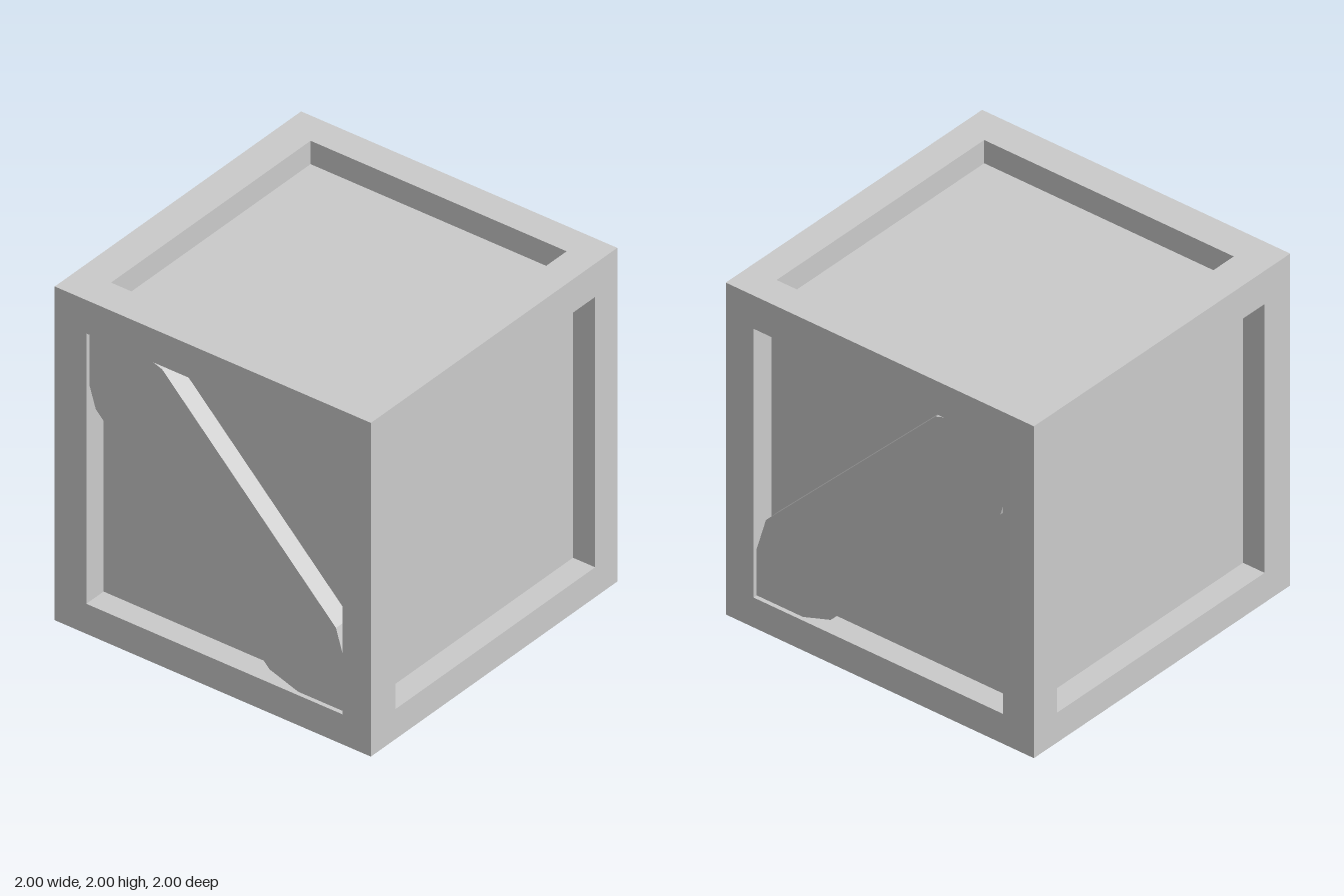
import * as THREE from 'three';

const material = new THREE.MeshStandardMaterial({ color: 0xcccccc, flatShading: true });

// Box given by its two opposite corners
function addBox(group, name, [x0, y0, z0], [x1, y1, z1]) {
  const mesh = new THREE.Mesh(new THREE.BoxGeometry(x1 - x0, y1 - y0, z1 - z0), material);
  mesh.position.set((x0 + x1) / 2, (y0 + y1) / 2, (z0 + z1) / 2);
  mesh.name = name;
  group.add(mesh);
}

export function createModel() {
  const crate = new THREE.Group();
  crate.name = 'crate';

  // Recessed panels on all six sides
  addBox(crate, 'panels', [-0.86, 0.14, -0.86], [0.86, 1.86, 0.86]);

  // Frame beams: [outer, inner] spans on each axis, low side then high side
  const frame = new THREE.Group();
  frame.name = 'frame';
  const xs = [[-1, -0.8], [0.82, 1]];
  const ys = [[0, 0.18], [1.8, 2]];
  const zs = [[-1, -0.82], [0.8, 1]];
  for (const i of [0, 1]) {
    for (const j of [0, 1]) {
      const [x, y, z, z2] = [xs[i], ys[j], zs[j], zs[i]];
      addBox(frame, 'cornerPost', [x[0], 0, z[0]], [x[1], 2, z[1]]);
      addBox(frame, 'crossRail', [-0.8, y[0], z2[0]], [0.82, y[1], z2[1]]);
      addBox(frame, 'sideRail', [x[0], y[0], -0.82], [x[1], y[1], 0.8]);
    }
  }
  crate.add(frame);

  // Diagonal brace with chamfered ends, tucked slightly into the frame
  const outline = [
    [-0.49, 1.81], [-0.34, 1.76], [0.76, 0.66], [0.823, 0.45], [0.83, 0.17],
    [0.55, 0.17], [0.34, 0.24], [-0.76, 1.35], [-0.81, 1.51], [-0.81, 1.81],
  ].reverse().map(([x, y]) => new THREE.Vector2(x, y));
  const board = new THREE.ExtrudeGeometry(new THREE.Shape(outline), { depth: 0.135, bevelEnabled: false });
  for (const [name, z] of [['frontBrace', 0.84], ['backBrace', -0.975]]) {
    const brace = new THREE.Mesh(board, material);
    brace.position.z = z;
    brace.name = name;
    crate.add(brace);
  }
  return crate;
}
